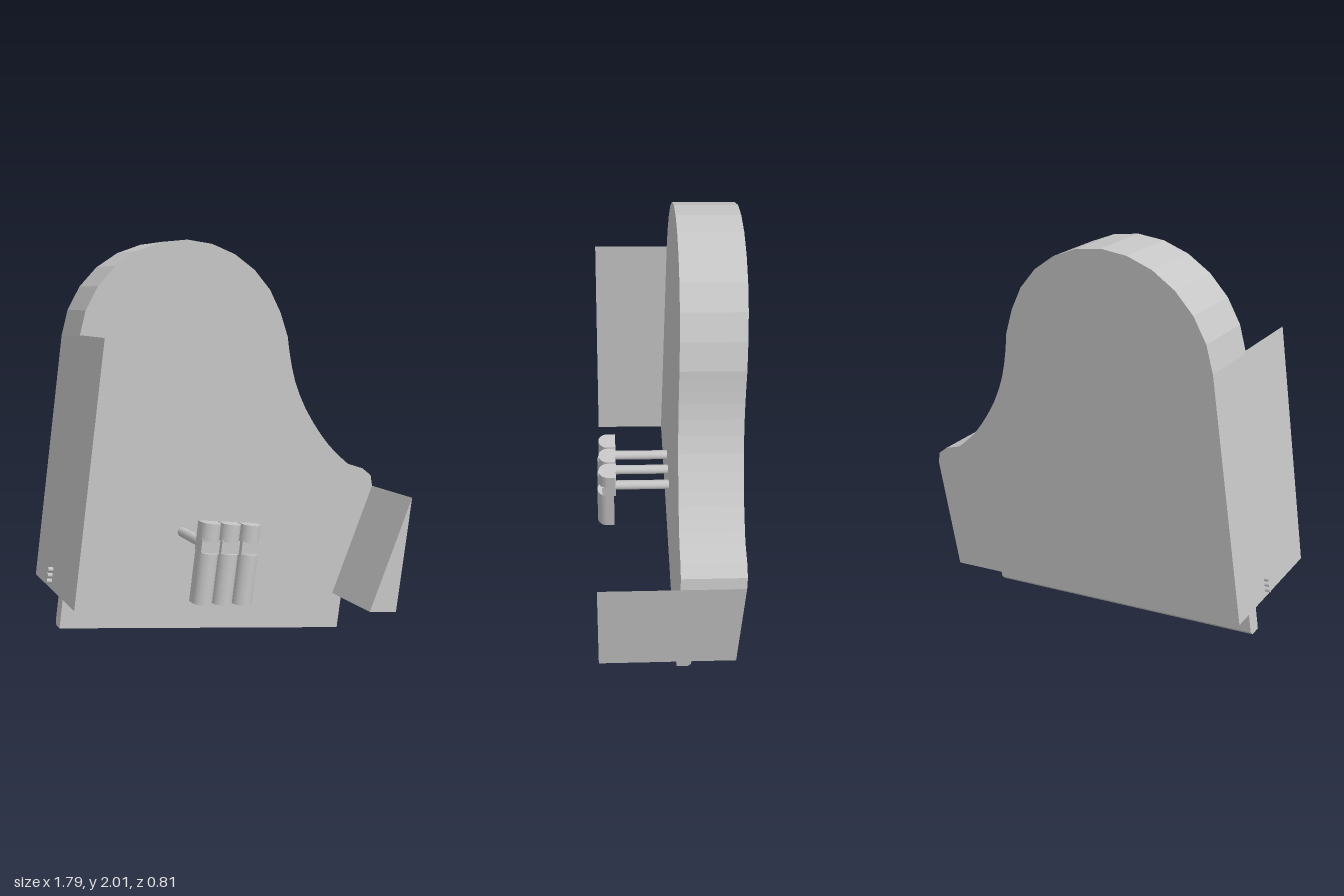
import * as THREE from 'three';

export function createModel() {
  const root = new THREE.Group();
  root.name = 'grandPiano';
  const grey = new THREE.MeshStandardMaterial({ color: 0xc6c6c6 });
  grey.name = 'plain grey';

  // The whole piano stands on its keyboard end and leans a little
  const zAxis = new THREE.Vector3(0.09, 0.023, 0.9957).normalize();
  const xAxis = new THREE.Vector3(0.9856, -0.146, -0.0857);
  xAxis.addScaledVector(zAxis, -xAxis.dot(zAxis)).normalize();
  const yAxis = new THREE.Vector3().crossVectors(zAxis, xAxis);
  const piano = new THREE.Group();
  piano.name = 'tiltedPiano';
  piano.quaternion.setFromRotationMatrix(new THREE.Matrix4().makeBasis(xAxis, yAxis, zAxis));
  root.add(piano);

  const add = (name, geometry, parent = piano) => {
    const mesh = new THREE.Mesh(geometry, grey);
    mesh.name = name;
    parent.add(mesh);
    return mesh;
  };
  const box = (name, x0, x1, y0, y1, z0, z1, parent) => {
    const mesh = add(name, new THREE.BoxGeometry(x1 - x0, y1 - y0, z1 - z0), parent);
    mesh.position.set((x0 + x1) / 2, (y0 + y1) / 2, (z0 + z1) / 2);
    return mesh;
  };
  const prism = (name, points, z0, z1) => {
    const shape = new THREE.Shape(points.map(([x, y]) => new THREE.Vector2(x, y)));
    const geometry = new THREE.ExtrudeGeometry(shape, { depth: z1 - z0, bevelEnabled: false });
    return add(name, geometry.translate(0, 0, z0));
  };

  const L = -0.92, R = 0.748, BOTTOM = 0.29, MID = 0.4, BACK = -0.315, FRONT = -0.027;

  // Case: round tail, S-curved right side
  const outline = [[L, MID], [R, MID], [R, 0.87], [0.73, 0.925], [0.674, 0.958], [0.581, 0.976]];
  const bend = new THREE.SplineCurve([
    [0.581, 0.976], [0.491, 1.034], [0.399, 1.112], [0.289, 1.236],
    [0.209, 1.366], [0.161, 1.49], [0.135, 1.58],
  ].map(([x, y]) => new THREE.Vector2(x, y)));
  bend.getPoints(12).slice(1).forEach((p) => outline.push([p.x, p.y]));
  for (let i = 1; i <= 12; i++) {
    const a = 0.25 + (Math.PI - 0.25) * i / 12;
    outline.push([-0.39 + 0.53 * Math.cos(a), 1.45 + 0.515 * Math.sin(a)]);
  }
  prism('caseBody', outline, BACK, FRONT);

  // Keyboard end of the case, open between lid and key bed
  const K0 = -0.857, K1 = 0.66;
  box('lidEdge', L, R, BOTTOM, MID, BACK, -0.285);
  box('caseUnderside', L, R, BOTTOM, MID, -0.046, FRONT);
  box('leftCheek', L, K0, BOTTOM, MID, -0.286, -0.045);
  box('rightCheek', K1, R, BOTTOM, MID, -0.286, -0.045);

  // Wedge-shaped supports at both sides
  prism('bassSideSupport', [[L, BOTTOM], [-0.793, BOTTOM], [L, 1.46]], -0.045, 0.332);
  prism('trebleSideSupport', [[0.592, BOTTOM], [R, BOTTOM], [R, 0.87]], -0.045, 0.332);

  // Key bed with a bevelled front lip: profile runs in depth and height
  const profile = new THREE.Shape([[0.045, 0.1], [0.045, 0.41], [0.115, 0.41], [0.115, 0.118], [0.1, 0.1]]
    .map(([x, y]) => new THREE.Vector2(x, y)));
  const bed = new THREE.ExtrudeGeometry(profile, { depth: K1 - K0, bevelEnabled: false });
  bed.rotateY(Math.PI / 2).translate(K0, 0, 0);
  add('keyBed', bed);

  // Raised sharps in groups of two and three
  const keys = new THREE.Group();
  keys.name = 'sharpKeys';
  piano.add(keys);
  const pitch = (K1 - K0 - 0.06) / 52;
  for (let i = 1; i < 52; i++) {
    if ([2, 5].includes(i % 7)) continue;
    const x = K0 + 0.03 + i * pitch;
    box('sharpKey', x - 0.008, x + 0.008, 0.19, 0.405, -0.133, -0.11, keys);
  }

  // Pedals: rounded fronts, collars and rods to the case
  const pad = (r, depth) => {
    const s = new THREE.Shape();
    s.moveTo(-r, 0);
    s.lineTo(r, 0);
    s.lineTo(r, -(depth - r));
    s.absarc(0, -(depth - r), r, 0, -Math.PI, true);
    s.closePath();
    return s;
  };
  const padPart = (name, y0, y1, r, depth, z, parent) => {
    const g = new THREE.ExtrudeGeometry(pad(r, depth), { depth: y1 - y0, bevelEnabled: false, curveSegments: 8 });
    add(name, g.rotateX(-Math.PI / 2), parent).position.set(0, y0, z);
  };
  for (const x of [-0.304, -0.203, -0.1]) {
    const pedal = new THREE.Group();
    pedal.name = 'pedal';
    pedal.position.x = x;
    piano.add(pedal);
    padPart('pedalFoot', 0.317, 0.555, 0.047, 0.085, 0.25, pedal);
    padPart('pedalTop', 0.61, 0.692, 0.047, 0.085, 0.243, pedal);
    box('pedalCollar', -0.045, 0.045, 0.55, 0.615, 0.24, 0.31, pedal);
    const rod = add('pedalRod', new THREE.CylinderGeometry(0.024, 0.024, 0.3, 12), pedal);
    rod.rotation.x = Math.PI / 2;
    rod.position.set(0, 0.583, 0.11);
  }

  // Small studs on the bass side
  for (const y of [0.325, 0.352, 0.379]) {
    const stud = add('sideStud', new THREE.CylinderGeometry(0.011, 0.011, 0.03, 10));
    stud.rotation.z = Math.PI / 2;
    stud.position.set(L - 0.008, y, -0.047);
  }
  return root;
}
